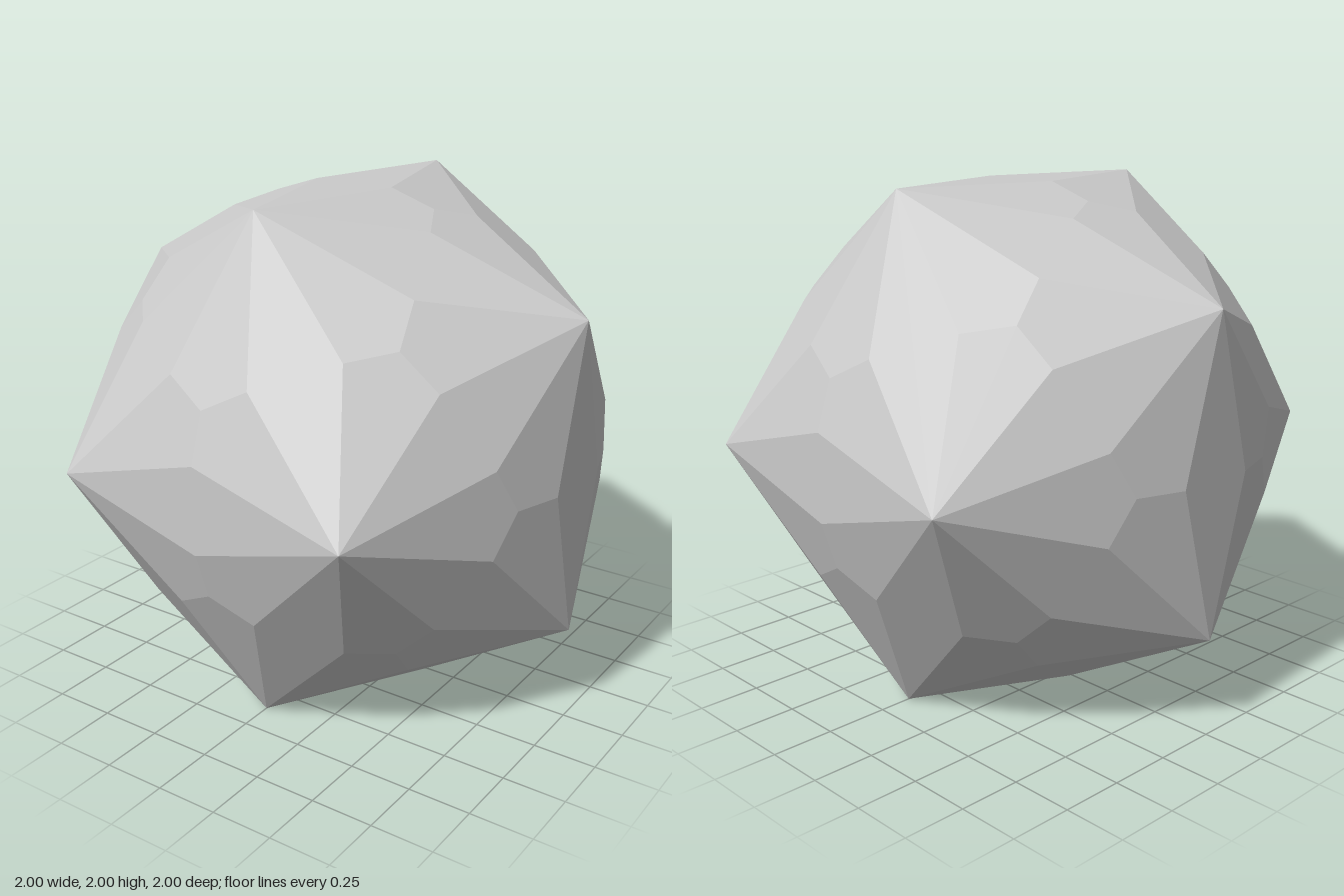
import * as THREE from 'three';

const P = (Math.sqrt(5) - 1) / 2;

// The 12 outer points: three mutually perpendicular golden rectangles
function outerPoints() {
  const points = [];
  for (const a of [-1, 1]) {
    for (const b of [-P, P]) {
      points.push(
        new THREE.Vector3(0, a, b),
        new THREE.Vector3(b, 0, a),
        new THREE.Vector3(a, b, 0)
      );
    }
  }
  return points;
}

// Weighted sum of three corners
function blend(u, v, w, a, b, c) {
  return new THREE.Vector3()
    .addScaledVector(u, a)
    .addScaledVector(v, b)
    .addScaledVector(w, c);
}

export function createModel() {
  const points = outerPoints();
  const positions = [];
  const triangle = (...corners) => corners.forEach((p) => positions.push(p.x, p.y, p.z));
  const isEdge = (a, b) => Math.abs(a.distanceTo(b) - 2 * P) < 0.01;

  const near = 1 / Math.sqrt(5);        // weight of the two edge corners in a ridge point
  const far = (P * P) / Math.sqrt(5);   // weight of the opposite corner
  const mid = 1 / (1 + 4 / Math.sqrt(5)); // weight of each corner in the face centre

  // Each of the 20 triangular regions: three half rhombi on its edges, three kites on its corners
  const addRegion = (corners) => {
    const centre = blend(...corners, mid, mid, mid);
    for (let i = 0; i < 3; i++) {
      const a = corners[i];
      const b = corners[(i + 1) % 3];
      const c = corners[(i + 2) % 3];
      const ab = blend(a, b, c, near, near, far);
      const ca = blend(c, a, b, near, near, far);
      triangle(a, b, ab);
      triangle(a, ab, centre);
      triangle(a, centre, ca);
    }
  };

  for (let i = 0; i < 12; i++) {
    for (let j = i + 1; j < 12; j++) {
      for (let k = j + 1; k < 12; k++) {
        const [a, b, c] = [points[i], points[j], points[k]];
        if (!isEdge(a, b) || !isEdge(b, c) || !isEdge(a, c)) continue;
        const outward = a.dot(b.clone().cross(c)) > 0;
        addRegion(outward ? [a, b, c] : [a, c, b]);
      }
    }
  }

  const geometry = new THREE.BufferGeometry();
  geometry.setAttribute('position', new THREE.Float32BufferAttribute(positions, 3));
  geometry.computeVertexNormals();

  const material = new THREE.MeshStandardMaterial({ color: 0xcccccc, flatShading: true });
  const solid = new THREE.Mesh(geometry, material);
  solid.name = 'facetedPolyhedron';
  solid.position.y = 1;

  const group = new THREE.Group();
  group.name = 'polyhedron';
  group.add(solid);
  return group;
}
